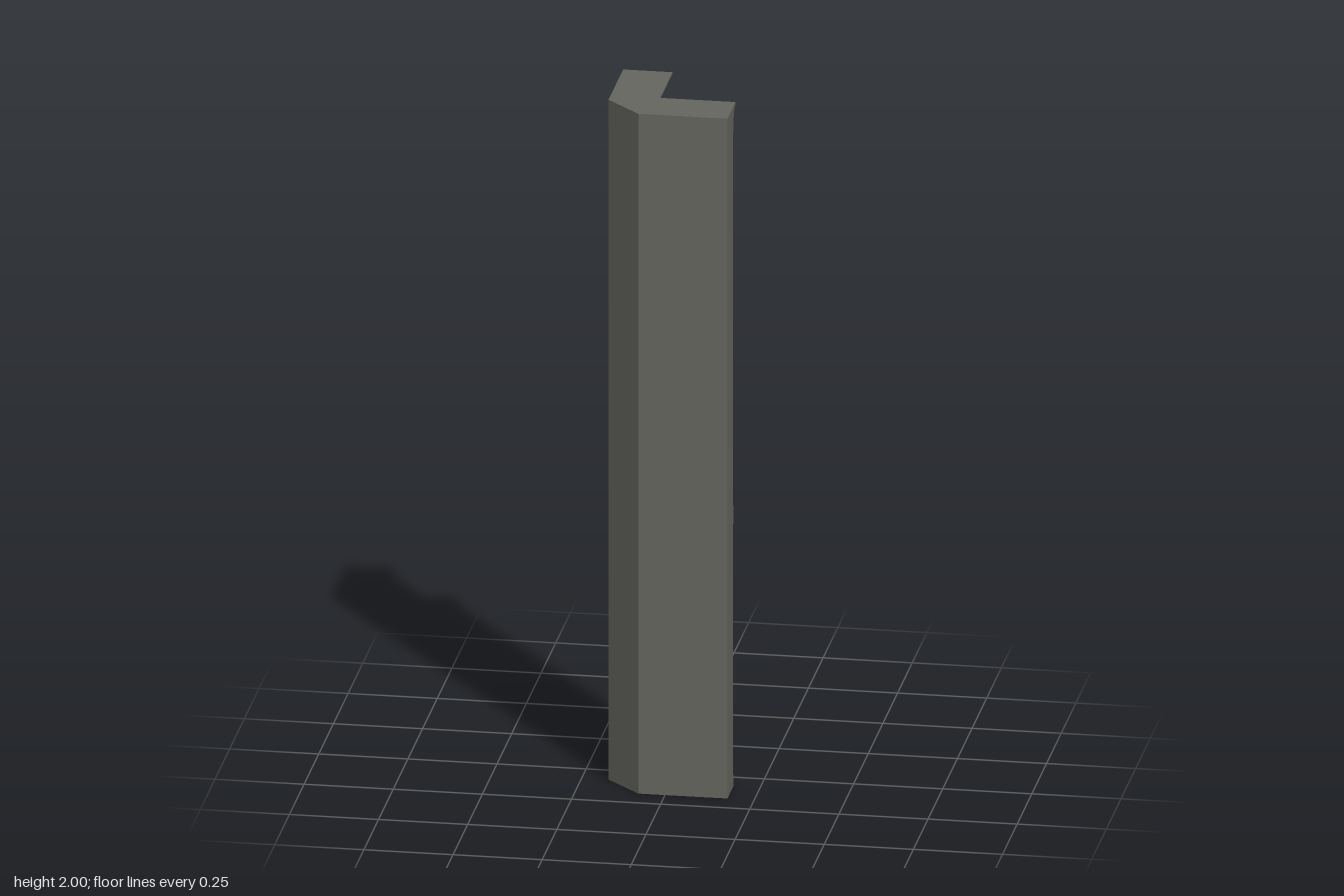
import * as THREE from 'three';
import { toCreasedNormals } from 'three/addons/utils/BufferGeometryUtils.js';

const R = 0.175; // half width of the corner post

// L-shaped plan at height y; p is the distance of the inner faces from the axes
function ring(p, y) {
  return [[-p, -R], [-p, p], [R, p], [R, R], [-0.075, R], [-R, 0.075], [-R, -R]]
    .map(([x, z]) => new THREE.Vector3(x, y, z));
}

// Inner moulding profile from bottom to top: [inner face, height]
function wallProfile() {
  const pts = [
    [0.073, 0], [0.073, 0.03], [0.079, 0.047],                      // skirting
    [0.079, 0.772], [0.073, 0.772], [0.073, 0.825], [0.079, 0.83],  // chair rail
    [0.079, 1.928], [0.073, 1.928],                                 // cornice ledge
  ];
  // concave cornice cove
  for (let i = 0; i <= 10; i++) {
    const a = (i / 10) * Math.PI / 2;
    pts.push([0.037 + 0.036 * Math.cos(Math.PI / 2 - a) ** 0 - 0.036 * (1 - Math.cos(a)), 1.935 + 0.059 * Math.sin(a)]);
  }
  pts.push([0.037, 2]);
  return pts;
}

function cornerGeometry() {
  const rings = wallProfile().map(([p, y]) => ring(p, y));
  const pos = [];
  const area = new THREE.Triangle();
  const tri = (a, b, c) => {
    if (area.set(a, b, c).getArea() < 1e-9) return;
    for (const v of [a, b, c]) pos.push(v.x, v.y, v.z);
  };
  // sides between neighbouring cross-sections
  for (let k = 0; k < rings.length - 1; k++) {
    const lo = rings[k], hi = rings[k + 1];
    for (let i = 0; i < 7; i++) {
      const j = (i + 1) % 7;
      tri(lo[i], hi[i], lo[j]);
      tri(hi[i], hi[j], lo[j]);
    }
  }
  // end caps
  const bottom = rings[0], top = rings[rings.length - 1];
  for (const [a, b, c] of [[0, 1, 5], [0, 5, 6], [1, 4, 5], [1, 2, 3], [1, 3, 4]]) {
    tri(bottom[a], bottom[b], bottom[c]);
    tri(top[a], top[c], top[b]);
  }
  const geo = new THREE.BufferGeometry();
  geo.setAttribute('position', new THREE.Float32BufferAttribute(pos, 3));
  return toCreasedNormals(geo, 0.4);
}

export function createModel() {
  const group = new THREE.Group();
  group.name = 'wallCorner';
  const plaster = new THREE.MeshStandardMaterial({ color: 0x66665f });
  plaster.name = 'grey plaster';
  const wall = new THREE.Mesh(cornerGeometry(), plaster);
  wall.name = 'mouldedCornerWall';
  group.add(wall);
  return group;
}
